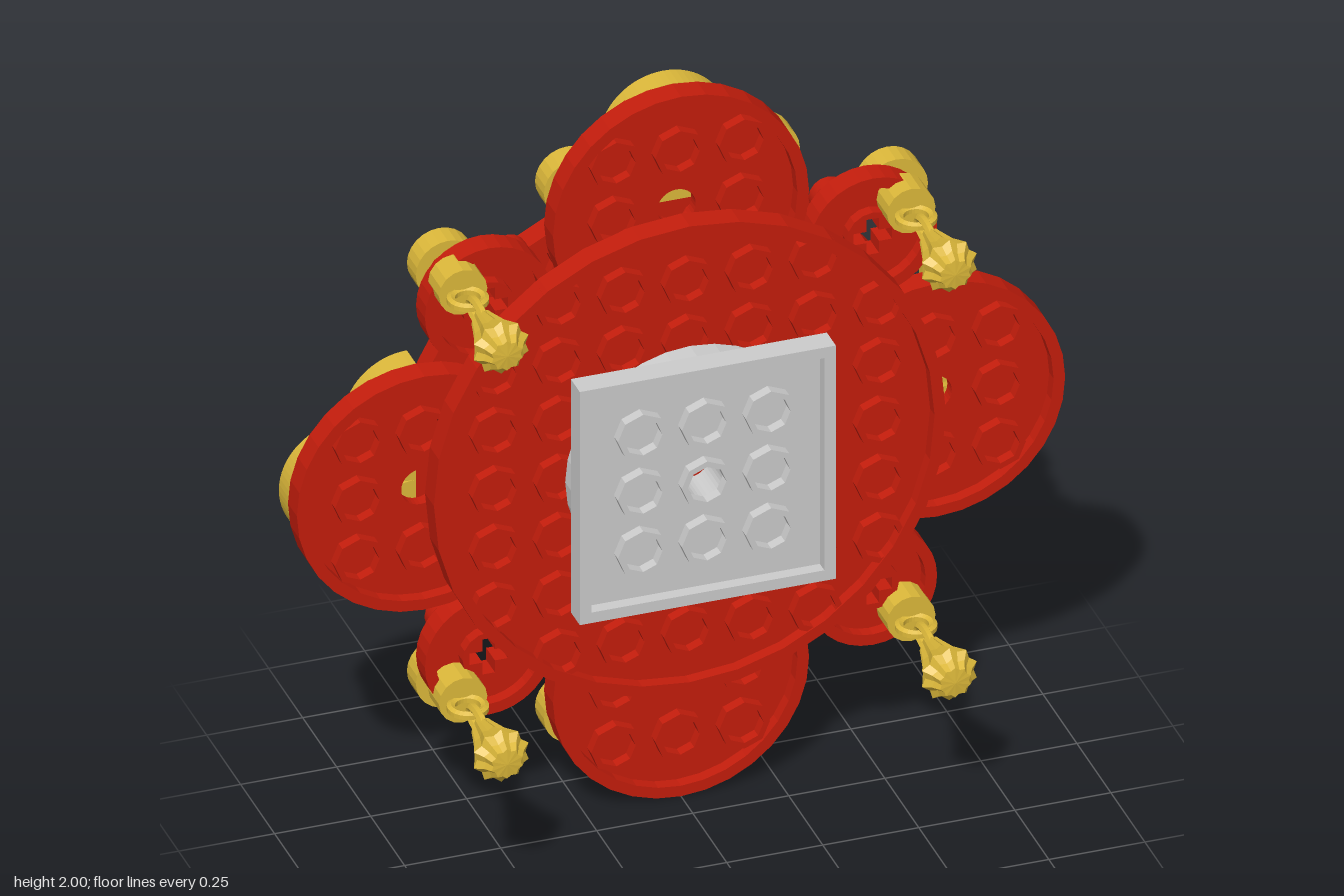
import * as THREE from 'three';

const S = 1 / 6;      // stud pitch
const H = 0.066;      // plate thickness
const red = new THREE.MeshStandardMaterial({ color: 0xc41d0c, side: THREE.DoubleSide });
const gold = new THREE.MeshStandardMaterial({ color: 0xdcb83a, flatShading: true, side: THREE.DoubleSide });
const grey = new THREE.MeshStandardMaterial({ color: 0xcccccc, side: THREE.DoubleSide });

function add(parent, name, geometry, material, x = 0, y = 0, z = 0) {
  const mesh = new THREE.Mesh(geometry, material);
  mesh.name = name;
  mesh.position.set(x, y, z);
  parent.add(mesh);
  return mesh;
}

function extrude(shape, depth, curveSegments = 8) {
  return new THREE.ExtrudeGeometry(shape, { depth, bevelEnabled: false, curveSegments });
}

function circle(r, x = 0, y = 0) {
  return new THREE.Shape().absarc(x, y, r, 0, Math.PI * 2, false);
}

function square(h) {
  return new THREE.Shape([[-h, -h], [h, -h], [h, h], [-h, h]].map(p => new THREE.Vector2(...p)));
}

function cross(a, w) {
  const pts = [[a, -w], [a, w], [w, w], [w, a], [-w, a], [-w, w], [-a, w], [-a, -w], [-w, -w], [-w, -a], [w, -a], [w, -w]];
  return new THREE.Shape(pts.map(p => new THREE.Vector2(...p)));
}

function withHole(shape, hole) {
  if (hole) shape.holes.push(hole);
  return shape;
}

// Disc or stud whose axis runs along z, starting at z = 0
function disc(r, depth, sides = 24) {
  return new THREE.CylinderGeometry(r, r, depth, sides).rotateX(Math.PI / 2).translate(0, 0, depth / 2);
}

function gridPoints(coords, maxR) {
  const pts = [];
  for (const x of coords) for (const y of coords) if (Math.hypot(x, y) < maxR) pts.push([x, y]);
  return pts;
}

// Hollow plate opening towards +z, with a floor, rim, inner tubes and rear studs
function hollowPlate(name, material, outline, inner, o) {
  const g = new THREE.Group();
  g.name = name;
  add(g, 'floor', extrude(withHole(outline(), o.hole), H / 2, 16), material);
  add(g, 'rim', extrude(withHole(outline(), inner()), H / 2, 16), material, 0, 0, H / 2);
  const tube = extrude(withHole(circle(0.066), circle(0.05)), H / 2 - 0.004, 4);
  for (const [x, y] of o.tubes || []) add(g, 'tube', tube, material, x, y, H / 2);
  const stud = disc(0.05, 0.033, 16);
  for (const [x, y] of o.studs || []) add(g, 'stud', stud, material, x, y, -0.033);
  return g;
}

function roundPlate(name, r, options) {
  return hollowPlate(name, red, () => circle(r), () => circle(r - 0.03), options);
}

function place(parent, child, x, y, z) {
  child.position.set(x, y, z);
  parent.add(child);
  return child;
}

function link(halfWidth, halfLength) {
  const pts = [];
  for (let i = 0; i < 12; i++) {
    const a = i / 12 * Math.PI * 2;
    pts.push(new THREE.Vector3(Math.cos(a) * halfWidth, 0, Math.sin(a) * halfLength));
  }
  return new THREE.TubeGeometry(new THREE.CatmullRomCurve3(pts, true), 24, 0.012, 6, true);
}

// Hanging charm: round base, two crossed links and a fluted drop
function charm() {
  const g = new THREE.Group();
  g.name = 'charm';
  add(g, 'charmBase', disc(0.063, 0.08, 16), gold, 0, 0, -0.12);
  add(g, 'baseLink', link(0.042, 0.042), gold, 0, 0, -0.005);
  add(g, 'dropLink', link(0.024, 0.06), gold, 0, 0, 0.068).rotation.z = Math.PI / 2;
  const profile = [[0, 0.09], [0.028, 0.095], [0.034, 0.12], [0.05, 0.18], [0.075, 0.24], [0.055, 0.26], [0.042, 0.283], [0, 0.287]];
  const drop = new THREE.LatheGeometry(profile.map(p => new THREE.Vector2(...p)), 20);
  const pos = drop.attributes.position;
  for (let i = 0; i < pos.count; i++) {
    const flute = Math.floor(i / profile.length) % 2 ? 0.84 : 1;
    pos.setX(i, pos.getX(i) * flute);
    pos.setZ(i, pos.getZ(i) * flute);
  }
  add(g, 'drop', drop.rotateX(Math.PI / 2), gold);
  return g;
}

export function createModel() {
  const model = new THREE.Group();
  model.name = 'ornament';
  const body = new THREE.Group();
  body.name = 'body';
  body.position.y = 1;
  model.add(body);

  const tubes7 = [-3, -2, -1, 0, 1, 2, 3].map(i => i * S);
  const studs8 = [-3.5, -2.5, -1.5, -0.5, 0.5, 1.5, 2.5, 3.5].map(i => i * S);

  // Large front and back discs around a central core
  place(body, roundPlate('frontDisc', 4 * S, {
    tubes: gridPoints(tubes7, 0.605), studs: gridPoints(studs8, 0.62),
  }), 0, 0, -0.086);
  add(body, 'core', disc(2 * S, 0.133, 32), red, 0, 0, -0.219);
  place(body, roundPlate('backDisc', 4 * S, { tubes: gridPoints(tubes7, 0.605) }), 0, 0, -0.285);

  // Four petals
  const petalTubes = gridPoints([-S, 0, S], 0.3).filter(p => p[0] || p[1]);
  const petalStuds = gridPoints([-1.5, -0.5, 0.5, 1.5].map(i => i * S), 0.3);
  for (const [x, y] of [[1, 0], [-1, 0], [0, 1], [0, -1]]) {
    place(body, roundPlate('petal', 2 * S, {
      hole: circle(0.05), tubes: petalTubes, studs: petalStuds,
    }), x * 4 * S, y * 4 * S, -0.152);
  }

  // Gold half-round tiles on the backs of the petals
  const half = extrude(new THREE.Shape().absarc(0, 0, S, 0, Math.PI, false), H, 16);
  const halfTile = (x, y, angle) => {
    add(body, 'halfRoundTile', half, gold, x, y, -0.219).rotation.z = angle;
  };
  const roundTile = disc(S / 2, H, 24);
  for (const s of [1, -1]) {
    const up = s > 0 ? 0 : Math.PI;
    halfTile(0, s * 5 * S, up);
    halfTile(0, s * 4 * S, up);
    const out = -s * Math.PI / 2;
    halfTile(s * 5 * S, 0, out);
    halfTile(s * 4 * S, S, out);
    halfTile(s * 4 * S, -S, out);
    for (const t of [1, -1]) add(body, 'roundTile', roundTile, gold, t * 1.5 * S, s * 4.5 * S, -0.219);
  }

  // Corner plates with cross holes, round tiles and charms
  const cornerStuds = gridPoints([-S / 2, S / 2], 1);
  for (const x of [1, -1]) for (const y of [1, -1]) {
    const corner = roundPlate('cornerPlate', S, { hole: cross(0.05, 0.016), studs: cornerStuds });
    add(corner, 'crossSocket', extrude(withHole(circle(0.068), cross(0.05, 0.016)), H / 2 - 0.002), red, 0, 0, H / 2);
    place(body, corner, x * 3 * S, y * 3 * S, -0.152);
    add(body, 'cornerTile', roundTile, gold, x * 3.5 * S, y * 3.5 * S, -0.219);
    place(body, charm(), x * 3.5 * S, y * 3.5 * S, 0);
  }

  // Grey square plate on its round base
  const squareTubes = gridPoints([-S, 0, S], 1);
  place(body, hollowPlate('squarePlate', grey, () => square(2 * S), () => square(2 * S - 0.03), {
    hole: circle(0.05), tubes: squareTubes,
  }), 0, 0, 0.045);
  add(body, 'roundBase', extrude(withHole(circle(0.325), circle(0.05)), 0.065, 16), grey, 0, 0, -0.02);
  return model;
}
